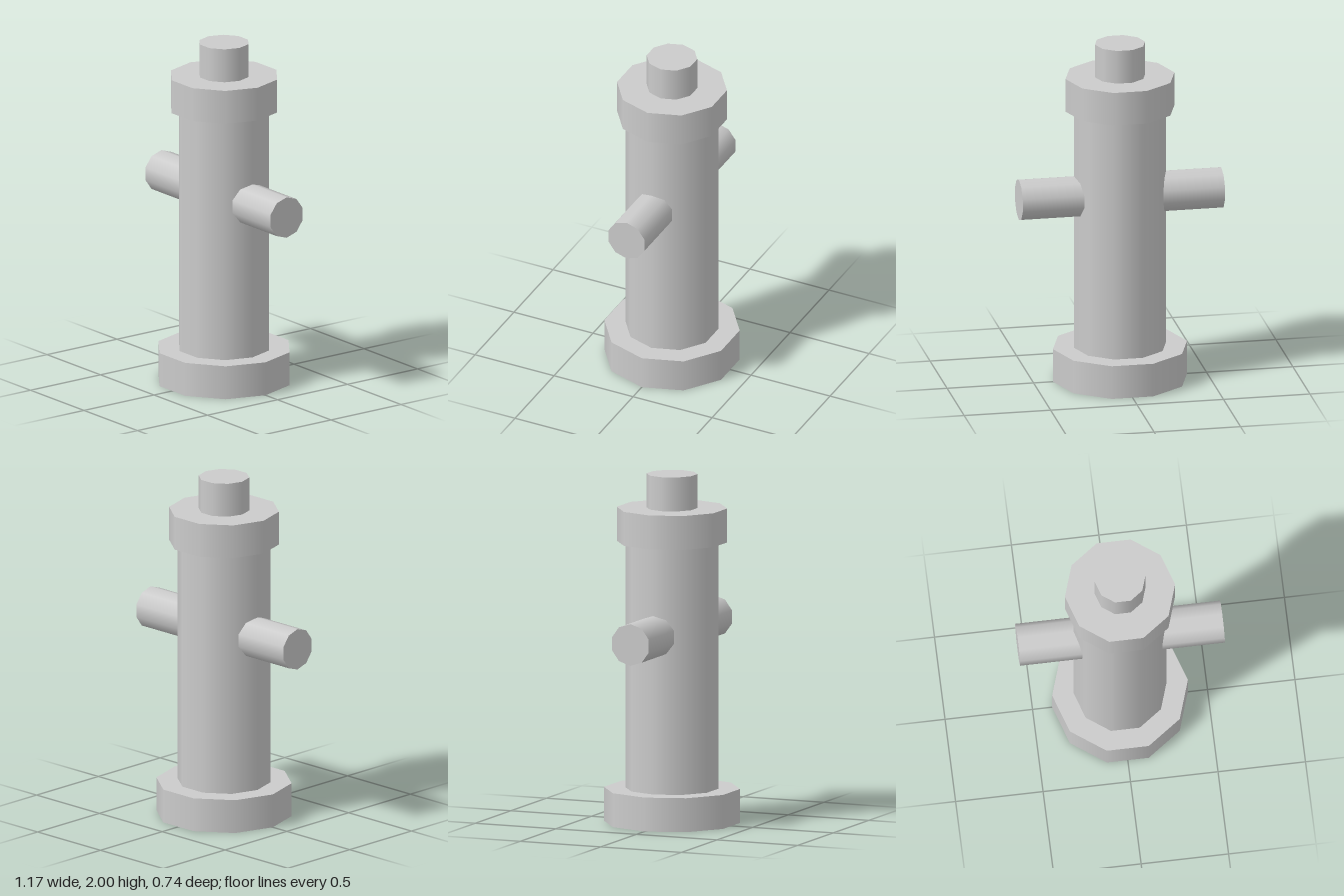
import * as THREE from 'three';

const SIDES = 10;

export function createModel() {
  const model = new THREE.Group();
  model.name = 'hydrant';
  const grey = new THREE.MeshStandardMaterial({ color: 0xcccccc });
  grey.name = 'light grey';

  // Smooth-shaded ten-sided drum with corners on the x axis
  const drum = (radius, height) =>
    new THREE.CylinderGeometry(radius, radius, height, SIDES, 1, false, Math.PI / 2);

  const add = (name, geometry, x, y) => {
    const mesh = new THREE.Mesh(geometry, grey);
    mesh.name = name;
    mesh.position.set(x, y, 0);
    model.add(mesh);
  };

  // Upright stack: name, radius, bottom, top
  const stack = [
    ['base', 0.388, 0, 0.195],
    ['barrel', 0.266, 0.195, 1.61],
    ['cap', 0.315, 1.61, 1.805],
    ['topNut', 0.145, 1.805, 2],
  ];
  for (const [name, radius, bottom, top] of stack) {
    add(name, drum(radius, top - bottom), 0, (bottom + top) / 2);
  }

  // Side outlets, starting inside the barrel
  const inner = 0.1, outer = 0.585;
  for (const side of [1, -1]) {
    const outlet = drum(0.12, outer - inner).rotateZ(Math.PI / 2);
    add(side > 0 ? 'leftOutlet' : 'rightOutlet', outlet, side * (inner + outer) / 2, 1.1);
  }

  return model;
}
